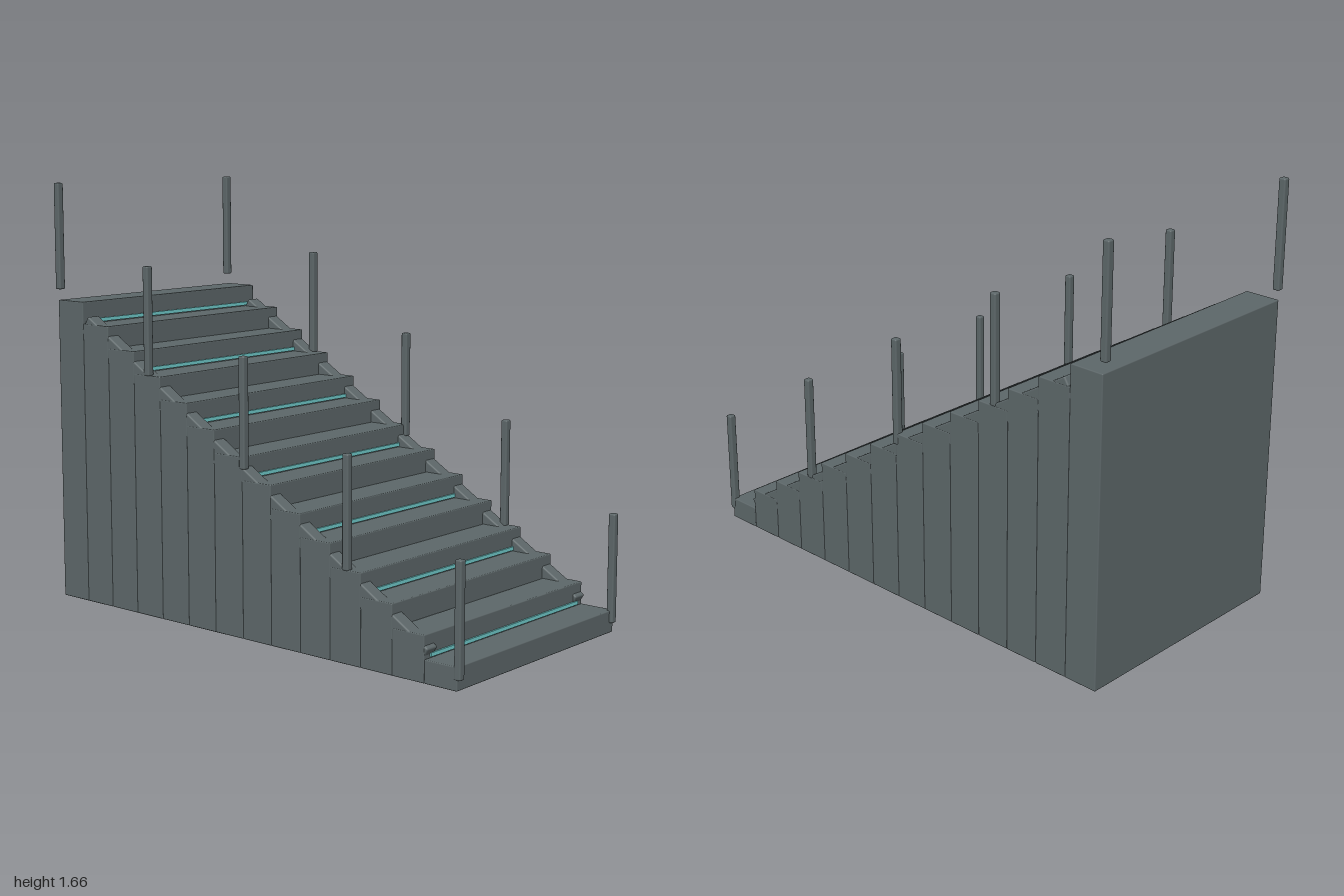
import * as THREE from 'three';
import { RoundedBoxGeometry } from 'three/addons/geometries/RoundedBoxGeometry.js';

const STEPS = 14;
const RISE = 0.0855;
const HALF_DEPTH = 0.986;
const RUN = (2 * HALF_DEPTH) / STEPS;
const WIDTH = 0.976;

export function createModel() {
  const model = new THREE.Group();
  model.name = 'staircase';

  const metal = new THREE.MeshStandardMaterial({ color: 0x5c6668 });
  metal.name = 'grey metal';
  const glow = new THREE.MeshStandardMaterial({ color: 0x70cccc });
  glow.name = 'cyan light';

  // Box with a small bevel on every edge
  function bevelBox(name, w, h, d, bevel, x, y, z) {
    const mesh = new THREE.Mesh(new RoundedBoxGeometry(w, h, d, 2, bevel), metal);
    mesh.name = name;
    mesh.position.set(x, y, z);
    model.add(mesh);
    return mesh;
  }

  // Solid steps, each reaching the ground
  for (let i = 0; i < STEPS; i++) {
    const height = RISE * (i + 1);
    const front = HALF_DEPTH - RUN * i;
    bevelBox('step', WIDTH, height, RUN, 0.004, 0, height / 2, front - RUN / 2);

    // Light strip at the foot of every second riser
    if (i % 2 === 1) {
      const strip = new THREE.Mesh(new THREE.BoxGeometry(0.91, 0.014, 0.009), glow);
      strip.name = 'lightStrip';
      strip.position.set(0, RISE * i + 0.01, front + 0.002);
      model.add(strip);
    }
  }

  for (const side of [-1, 1]) {
    // Sloping stringer along each edge
    const stringer = bevelBox('stringer', 0.058, 0.08, 1.965, 0.007,
      side * 0.458, (RISE * STEPS) / 2, 0);
    stringer.rotation.x = Math.atan2(RISE, RUN);

    // Railing posts climbing with the stairs
    for (let k = 0; k < 5; k++) {
      bevelBox('railingPost', 0.028, 0.417, 0.028, 0.006,
        side * 0.476, 0.247 + 0.3 * k, HALF_DEPTH * (1 - k / 2));
    }
  }

  return model;
}
